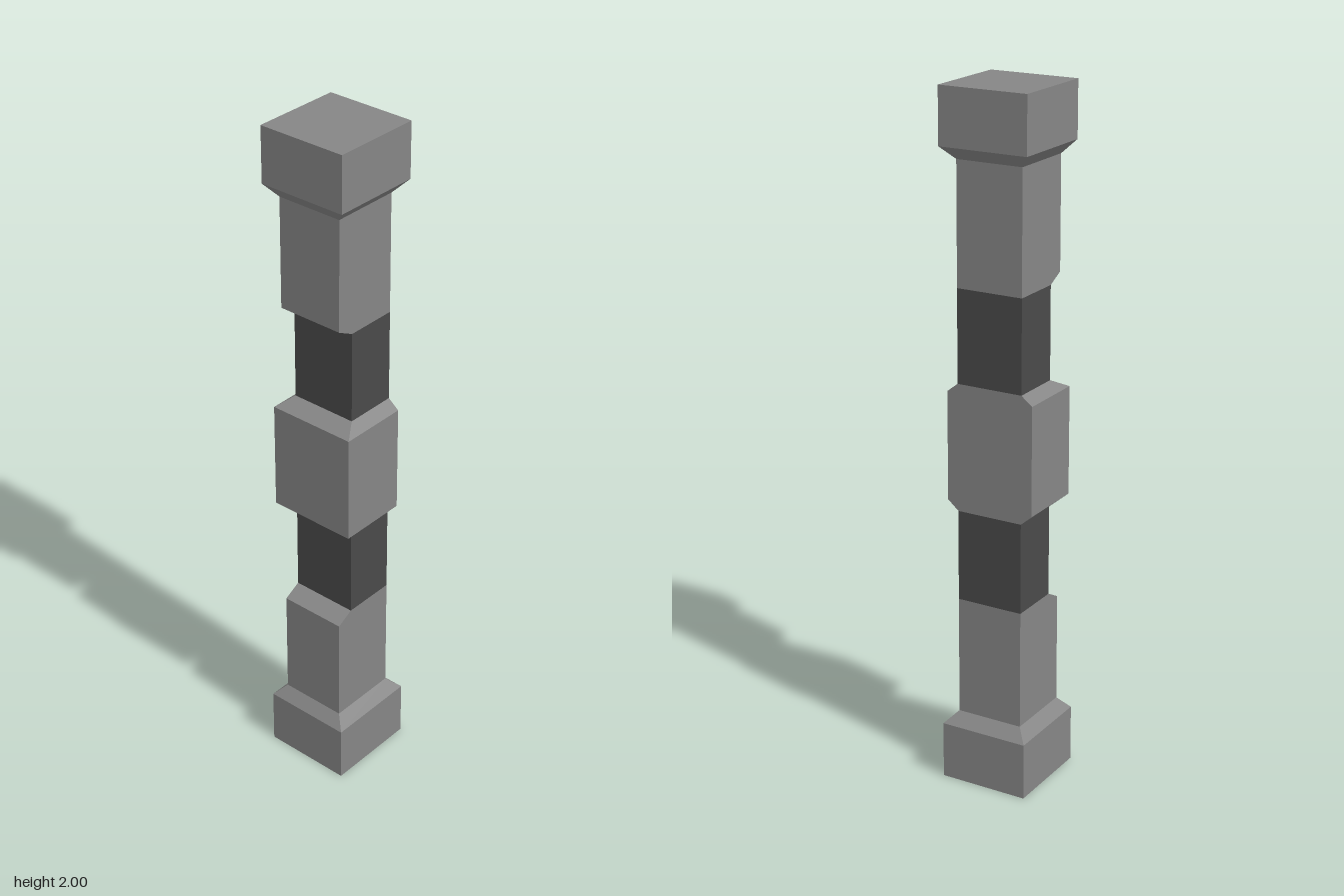
import * as THREE from 'three';

const SHAFT = 0.1, WIDE = 0.133;     // half widths
const FRONT = 0.109, RECESS = 0.058; // front depths

// The back face leans forward very slightly with height.
const backZ = (y) => -0.103 + 0.005 * y;

// Stacks rectangular rings [y, halfWidth, frontZ, extraBack] into one solid.
function makeSection(name, rings, color) {
  const g = new THREE.BoxGeometry(1, 1, 1, 1, rings.length - 1, 1);
  const p = g.attributes.position;
  for (let i = 0; i < p.count; i++) {
    const k = Math.round((p.getY(i) + 0.5) * (rings.length - 1));
    const [y, w, front, extra = 0] = rings[k];
    p.setXYZ(i, Math.sign(p.getX(i)) * w, y, p.getZ(i) > 0 ? front : backZ(y) - extra);
  }
  const flat = g.toNonIndexed();
  flat.computeVertexNormals();
  const mesh = new THREE.Mesh(flat, new THREE.MeshStandardMaterial({ color, flatShading: true }));
  mesh.name = name;
  return mesh;
}

export function createModel() {
  const group = new THREE.Group();
  group.name = 'column';
  const light = 0x868686, dark = 0x4a4a4a;
  const END = 0.138, LIP = 0.035;

  const sections = [
    // Foot block with bevel up to the shaft
    ['base', [[0, WIDE, END, LIP], [0.168, WIDE, END, LIP], [0.203, SHAFT, FRONT]], light],
    // Lower shaft, sloping back to the recess at its top
    ['lowerShaft', [[0.203, SHAFT, FRONT], [0.525, SHAFT, FRONT], [0.552, SHAFT, RECESS]], light],
    ['lowerBand', [[0.552, SHAFT, RECESS], [0.818, SHAFT, RECESS]], dark],
    // Bevelled middle block, flush with the back
    ['middleBlock', [[0.818, SHAFT, RECESS], [0.846, WIDE, FRONT],
      [1.162, WIDE, FRONT], [1.188, SHAFT, RECESS]], light],
    ['upperBand', [[1.188, SHAFT, RECESS], [1.456, SHAFT, RECESS]], dark],
    // Upper shaft, sloping out of the recess at its bottom
    ['upperShaft', [[1.456, SHAFT, RECESS], [1.482, SHAFT, FRONT], [1.804, SHAFT, FRONT]], light],
    // Head block with bevel
    ['cap', [[1.804, SHAFT, FRONT], [1.84, WIDE, END, LIP], [2, WIDE, END, LIP]], light],
  ];
  for (const s of sections) group.add(makeSection(...s));
  return group;
}
